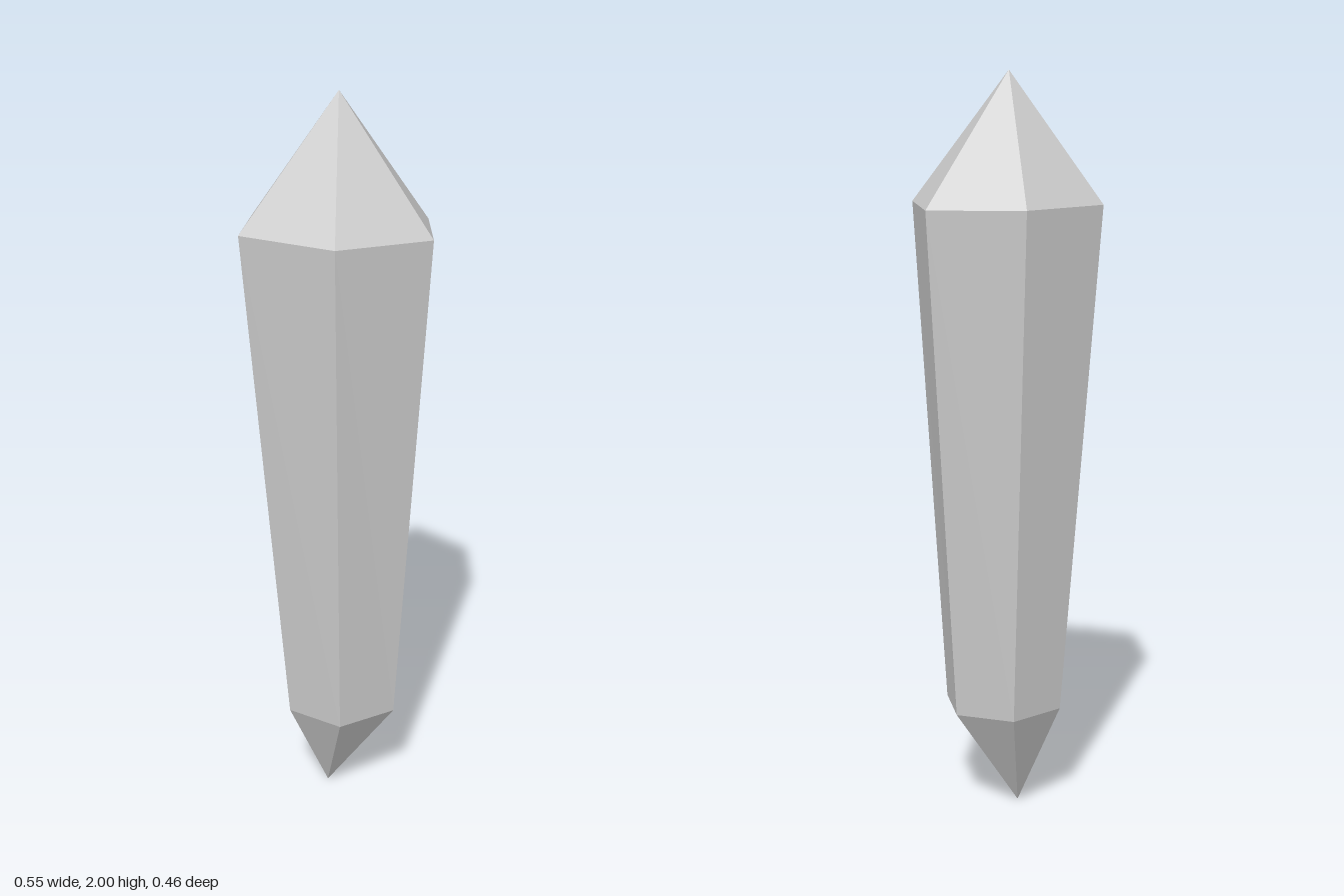
import * as THREE from 'three';

// Six-sided cross-sections, corners running from +x towards +z
const P = (x, y, z) => new THREE.Vector3(x, y, z);
const repeat = (p) => Array(6).fill(p);

const topTip = repeat(P(0.015, 2, -0.025));
const shoulder = [
  P(0.275, 1.648, -0.01), P(0.138, 1.665, 0.23), P(-0.14, 1.677, 0.23),
  P(-0.277, 1.675, -0.01), P(-0.128, 1.66, -0.232), P(0.13, 1.65, -0.232),
];
const base = [
  P(0.17, 0.29, 0.01), P(0.09, 0.29, 0.155), P(-0.083, 0.29, 0.155),
  P(-0.163, 0.29, 0.01), P(-0.08, 0.29, -0.13), P(0.085, 0.29, -0.13),
];
const bottomTip = repeat(P(-0.03, 0, -0.01));

// Flat facets between an upper and a lower section
function facets(name, upper, lower, material) {
  const points = [];
  for (let i = 0; i < 6; i++) {
    const j = (i + 1) % 6;
    if (upper[i] !== upper[j]) points.push(upper[i], upper[j], lower[i]);
    if (lower[i] !== lower[j]) points.push(upper[j], lower[j], lower[i]);
  }
  const geometry = new THREE.BufferGeometry().setFromPoints(points);
  geometry.computeVertexNormals();
  const mesh = new THREE.Mesh(geometry, material);
  mesh.name = name;
  return mesh;
}

export function createModel() {
  const group = new THREE.Group();
  group.name = 'crystal';
  const material = new THREE.MeshStandardMaterial({ color: 0xcccccc, flatShading: true });
  group.add(
    facets('crystalCap', topTip, shoulder, material),
    facets('crystalShaft', shoulder, base, material),
    facets('crystalPoint', base, bottomTip, material),
  );
  return group;
}
